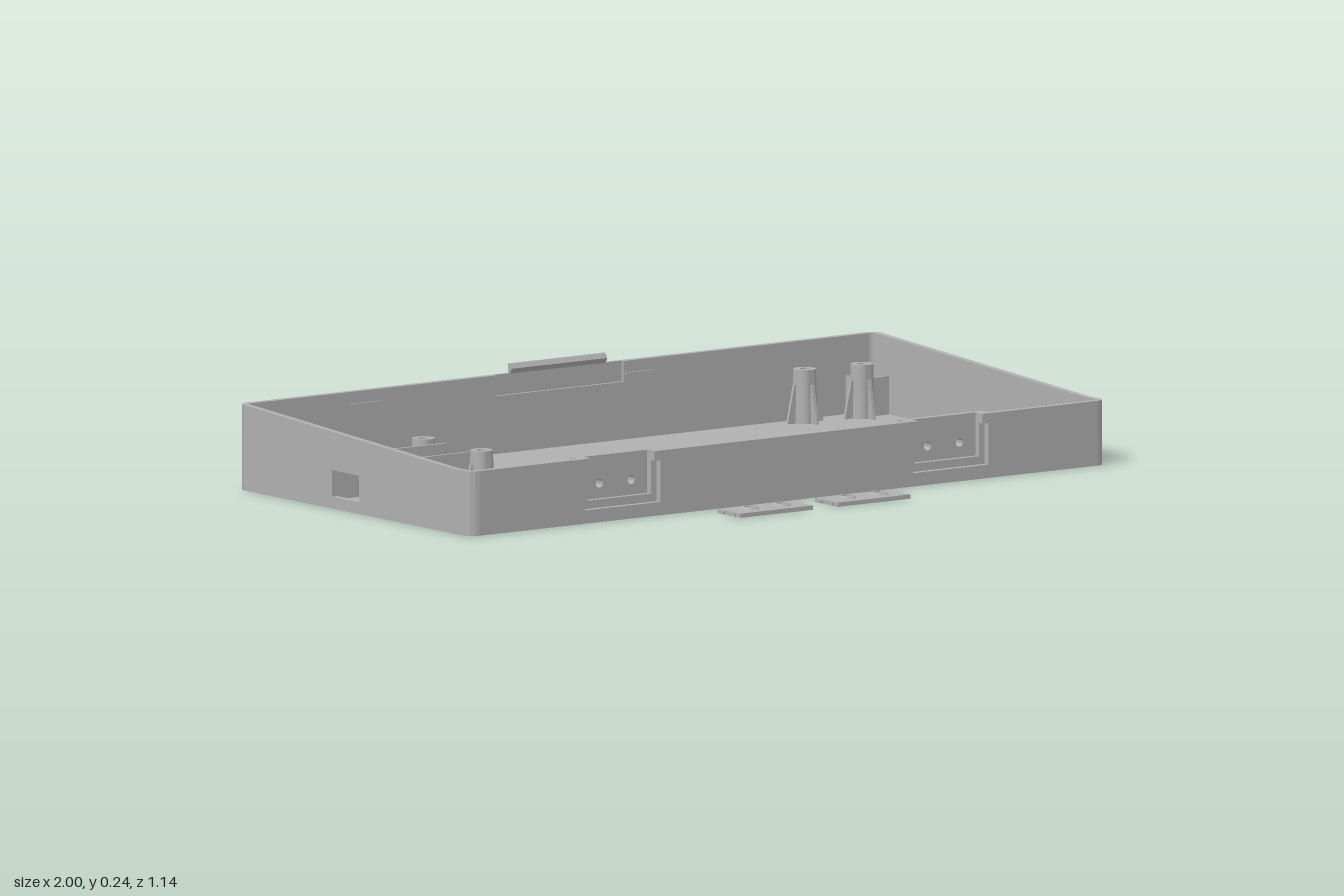
import * as THREE from 'three';
import { toCreasedNormals } from 'three/addons/utils/BufferGeometryUtils.js';

const plastic = new THREE.MeshStandardMaterial({ color: 0xb0b0b0 });
plastic.name = 'grey plastic';

const BACK = -0.57, FRONT = 0.413, T = 0.018, R = 0.03;
const LOW = 0.165, HIGH = 0.218, FLOOR = 0.018;

function add(parent, name, geometry, x = 0, y = 0, z = 0) {
  const mesh = new THREE.Mesh(geometry, plastic);
  mesh.name = name;
  mesh.position.set(x, y, z);
  parent.add(mesh);
  return mesh;
}
const box = (parent, name, w, h, d, x, y, z) => add(parent, name, new THREE.BoxGeometry(w, h, d), x, y, z);
const polygon = (pts) => new THREE.Shape(pts.map((p) => new THREE.Vector2(p[0], p[1])));
function circleHole(shape, x, y, r) {
  const path = new THREE.Path();
  path.absarc(x, y, r, 0, Math.PI * 2, true);
  shape.holes.push(path);
}
function rectHole(shape, x0, y0, x1, y1) {
  shape.holes.push(new THREE.Path([[x0, y0], [x0, y1], [x1, y1], [x1, y0]].map((p) => new THREE.Vector2(...p))));
}
function extrude(shape, depth) {
  const g = new THREE.ExtrudeGeometry(shape, { depth, bevelEnabled: false, curveSegments: 12 });
  return toCreasedNormals(g, 0.6);
}
const lathe = (pts) => toCreasedNormals(
  new THREE.LatheGeometry(pts.map((p) => new THREE.Vector2(p[0], p[1])), 24), 0.6);

// Floor with rounded corners
function addFloor(g) {
  const s = new THREE.Shape(), x = 0.998, z0 = BACK + 0.002, z1 = FRONT - 0.002;
  s.moveTo(-x + R, -z1);
  s.lineTo(x - R, -z1);
  s.absarc(x - R, -z1 + R, R, -Math.PI / 2, 0);
  s.absarc(x - R, -z0 - R, R, 0, Math.PI / 2);
  s.absarc(-x + R, -z0 - R, R, Math.PI / 2, Math.PI);
  s.absarc(-x + R, -z1 + R, R, Math.PI, Math.PI * 1.5);
  add(g, 'floor', extrude(s, FLOOR).rotateX(-Math.PI / 2));
}

// Sloping side walls and rounded corner posts
function addSides(g) {
  for (const side of [-1, 1]) {
    const s = polygon([[-FRONT + R, 0], [-BACK - R, 0], [-BACK - R, HIGH], [-0.34, LOW], [-FRONT + R, LOW]]);
    if (side < 0) rectHole(s, 0.055, 0.03, 0.17, 0.098);
    add(g, 'sideWall', extrude(s, T).rotateY(Math.PI / 2), side < 0 ? -1 : 1 - T);

    for (const end of [-1, 1]) {
      const start = Math.atan2(-end, side) - Math.PI / 4;
      const corner = new THREE.Shape();
      corner.absarc(0, 0, R, start, start + Math.PI / 2, false);
      corner.absarc(0, 0, R - T, start + Math.PI / 2, start, true);
      add(g, 'cornerWall', extrude(corner, end > 0 ? LOW : HIGH).rotateX(-Math.PI / 2),
        side * (1 - R), 0, end > 0 ? FRONT - R : BACK + R);
    }
  }
}

// Front wall with two stepped openings
function addFrontWall(g) {
  const x = 1 - R, pts = [[-x, 0], [x, 0], [x, LOW]];
  for (const c of [0.51, -0.52]) {
    pts.push([c + 0.1, LOW], [c + 0.1, 0.14], [c + 0.118, 0.14], [c + 0.118, 0.034],
      [c - 0.118, 0.034], [c - 0.118, 0.14], [c - 0.1, 0.14], [c - 0.1, LOW]);
  }
  pts.push([-x, LOW]);
  add(g, 'frontWall', extrude(polygon(pts), T), 0, 0, FRONT - T);

  for (const c of [0.51, -0.52]) {
    const socket = new THREE.Group();
    socket.name = 'frontSocket';
    socket.position.x = c;
    g.add(socket);
    // Frame between wall and recessed panel
    add(socket, 'socketFrame', extrude(polygon([[-0.13, 0], [0.13, 0], [0.13, LOW], [0.1, LOW],
      [0.1, 0.055], [-0.1, 0.055], [-0.1, LOW], [-0.13, LOW]]), 0.015), 0, 0, 0.382);
    const panel = polygon([[-0.13, 0], [0.13, 0], [0.13, LOW], [-0.13, LOW]]);
    for (const dx of [-0.05, 0.05]) {
      circleHole(panel, dx, 0.093, 0.011);
      const boss = lathe([[0.024, 0], [0.024, 0.045], [0.011, 0.045], [0.011, 0], [0.024, 0]]);
      add(socket, 'screwBoss', boss.rotateX(-Math.PI / 2), dx, 0.093, 0.364);
      box(socket, 'bossRib', 0.008, 0.055, 0.04, dx, 0.043, 0.345);
    }
    add(socket, 'recessedPanel', extrude(panel, 0.018), 0, 0, 0.364);
  }
}

// Back wall with thinned middle and raised latch tab
function addBackWall(g) {
  const x = 1 - R, half = T / 2;
  add(g, 'backWallOuter', extrude(polygon([[-x, 0], [x, 0], [x, HIGH], [0.15, HIGH], [0.15, 0.242],
    [-0.15, 0.242], [-0.15, HIGH], [-x, HIGH]]), half), 0, 0, BACK);
  add(g, 'backWallInner', extrude(polygon([[-x, 0], [x, 0], [x, HIGH], [0.2, HIGH], [0.2, LOW],
    [-0.2, LOW], [-0.2, HIGH], [-x, HIGH]]), half), 0, 0, BACK + half);
  const lip = polygon([[0, 0.217], [0.007, 0.23], [0, 0.242]]);
  add(g, 'latchLip', extrude(lip, 0.3).rotateY(-Math.PI / 2), 0.15, 0, BACK + half).scale.z = 1;
  // Small catches on the inner faces
  for (const c of [-0.61, 0.25]) box(g, 'backCatch', 0.09, 0.006, 0.006, c, 0.185, BACK + T + 0.002);
  for (const c of [-0.21, 0.27]) box(g, 'frontCatch', 0.09, 0.006, 0.006, c, 0.14, FRONT - T - 0.002);
}

// Screw post; fins give lengths toward +x, -z, -x, +z, and long ones are square
function addPost(g, x, z, h, fins) {
  const post = new THREE.Group();
  post.name = 'screwPost';
  post.position.set(x, 0, z);
  g.add(post);
  add(post, 'postTube', lathe([[0.033, 0], [0.029, h], [0.013, h], [0.013, h - 0.07], [0, h - 0.07]]));
  fins.forEach((len, i) => {
    if (!len) return;
    const top = len > 0.065 ? len : 0.035;
    const fin = polygon([[0.02, 0], [len, 0], [top, h * 0.75], [0.02, h * 0.75]]);
    add(post, 'postFin', extrude(fin, 0.008).translate(0, 0, -0.004)).rotation.y = i * Math.PI / 2;
  });
}

// Loose cover plate with two raised screw rings and side clips
function addCover(g, x) {
  const cover = new THREE.Group();
  cover.name = 'coverPlate';
  cover.position.set(x, 0, 0.522);
  g.add(cover);
  const s = polygon([[-0.114, -0.048], [0.114, -0.048], [0.114, 0.048], [-0.114, 0.048]]);
  for (const dx of [-0.05, 0.05]) {
    circleHole(s, dx, 0, 0.014);
    add(cover, 'screwRing', lathe([[0.026, 0.009], [0.019, 0.018], [0.014, 0.018], [0.014, 0]]), dx);
  }
  add(cover, 'plate', extrude(s, 0.011).rotateX(-Math.PI / 2));
  for (const sx of [-1, 1]) for (const dz of [-0.024, 0.024])
    box(cover, 'sideClip', 0.01, 0.007, 0.012, sx * 0.115, 0.0055, dz);
}

export function createModel() {
  const model = new THREE.Group();
  model.name = 'enclosure';
  addFloor(model);
  addSides(model);
  addFrontWall(model);
  addBackWall(model);

  // Corner posts braced to the walls
  for (const s of [-1, 1]) {
    const out = 0.085, inn = 0.06;
    const [px, nx] = s > 0 ? [out, inn] : [inn, out];
    addPost(model, s * 0.9, -0.487, 0.155, [px, 0.07, nx, 0.058]);
    addPost(model, s * 0.9, 0.34, 0.12, [px, 0.05, nx, 0.058]);
  }
  // Free-standing posts
  addPost(model, 0.735, -0.507, 0.155, [0.06, 0.05, 0.06, 0.06]);
  addPost(model, 0.735, 0.28, 0.12, [0.06, 0.06, 0.06, 0.06]);
  addPost(model, -0.66, -0.24, 0.14, [0, 0, 0.06, 0.05]);
  addPost(model, -0.66, 0.005, 0.14, [0, 0.045, 0.06, 0]);
  // Dividers beside the side opening
  for (const z of [-0.192, -0.039]) box(model, 'divider', 0.365, 0.13, 0.009, -0.807, 0.065, z);

  for (const x of [-0.153, 0.153]) addCover(model, x);
  return model;
}
